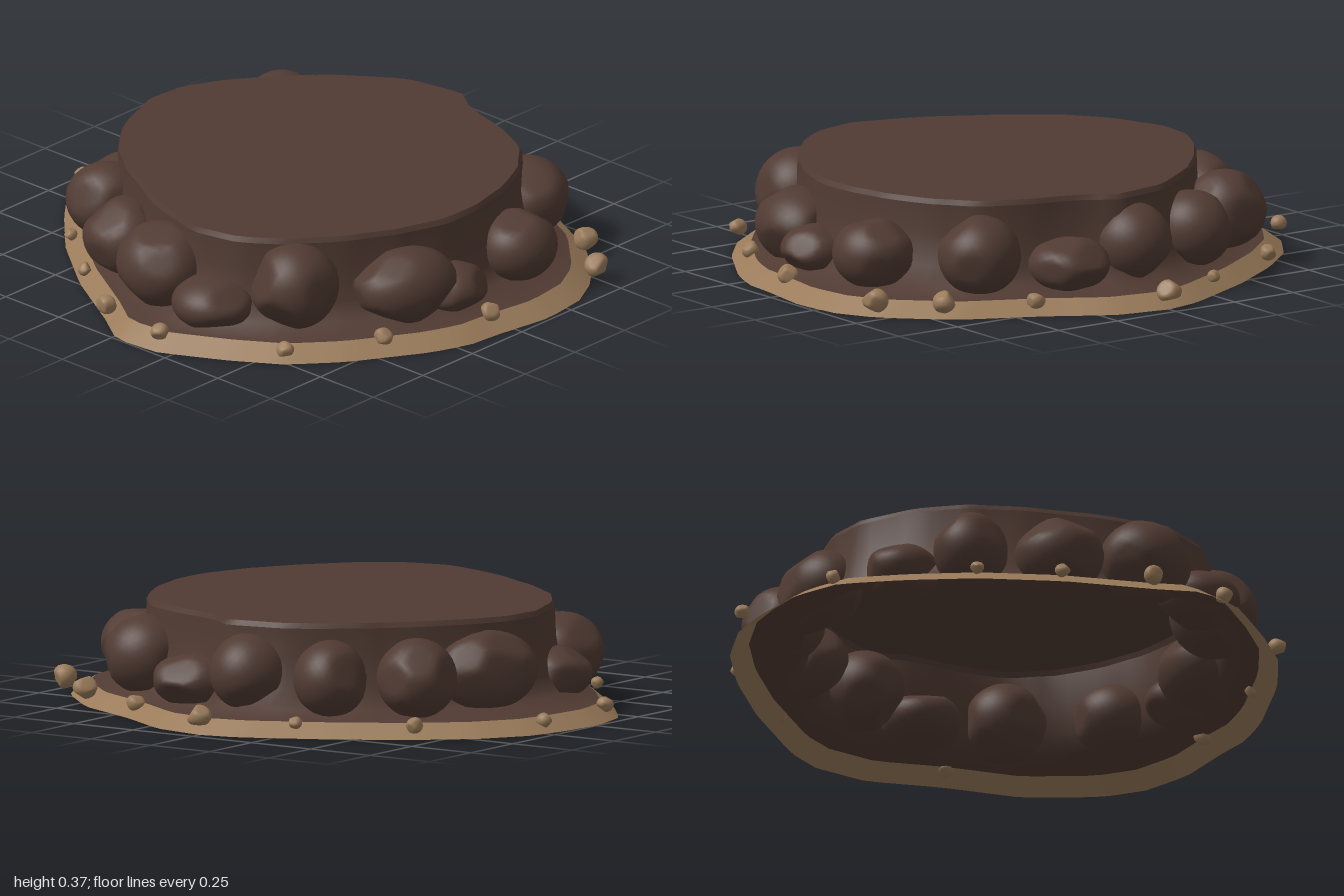
import * as THREE from 'three';
import { mergeVertices } from 'three/addons/utils/BufferGeometryUtils.js';

const SEGMENTS = 96;

// Ground plan outlines as [x, z] corners
const BASE = [[0, -0.96], [0.2, -0.925], [0.42, -0.79], [0.69, -0.66], [0.89, -0.47], [0.965, -0.33],
  [0.99, -0.15], [0.955, 0.08], [0.945, 0.2], [0.89, 0.34], [0.73, 0.6], [0.59, 0.76], [0.42, 0.87],
  [0.2, 0.985], [0.02, 1], [-0.12, 0.905], [-0.39, 0.745], [-0.63, 0.56], [-0.81, 0.375], [-0.955, 0.2],
  [-1, 0.02], [-0.98, -0.18], [-0.945, -0.32], [-0.84, -0.48], [-0.67, -0.63], [-0.44, -0.78], [-0.14, -0.93]];
const TOP = [[0.04, -0.72], [0.135, -0.66], [0.32, -0.61], [0.5, -0.52], [0.61, -0.4], [0.68, -0.24],
  [0.72, -0.08], [0.71, 0.08], [0.66, 0.27], [0.56, 0.43], [0.43, 0.59], [0.295, 0.68], [0.125, 0.73],
  [-0.025, 0.68], [-0.18, 0.615], [-0.37, 0.51], [-0.53, 0.4], [-0.635, 0.24], [-0.715, 0.055],
  [-0.7, -0.1], [-0.635, -0.24], [-0.53, -0.37], [-0.4, -0.53], [-0.16, -0.685]];

// Boulders: x, y, z, half radial, half height, half tangential
const BOULDERS = [
  [-0.03, 0.19, -0.69, 0.15, 0.135, 0.135], [0.22, 0.14, -0.67, 0.15, 0.095, 0.14],
  [0.51, 0.185, -0.55, 0.145, 0.135, 0.14], [0.745, 0.17, -0.25, 0.135, 0.12, 0.14],
  [0.75, 0.125, 0.08, 0.12, 0.085, 0.115], [0.69, 0.17, 0.26, 0.145, 0.13, 0.185],
  [0.46, 0.2, 0.57, 0.15, 0.15, 0.15], [0.235, 0.125, 0.74, 0.14, 0.09, 0.14],
  [-0.01, 0.19, 0.735, 0.15, 0.145, 0.16], [-0.3, 0.17, 0.615, 0.14, 0.13, 0.15],
  [-0.55, 0.17, 0.435, 0.14, 0.13, 0.125], [-0.67, 0.13, 0.215, 0.13, 0.09, 0.125],
  [-0.68, 0.19, -0.2, 0.135, 0.135, 0.19], [-0.585, 0.19, -0.485, 0.14, 0.135, 0.135],
  [-0.33, 0.185, -0.64, 0.14, 0.13, 0.125]];

// Pebbles: x, y, z, radius
const PEBBLES = [
  [0, 0.065, -0.96, 0.04], [0.715, 0.06, -0.625, 0.04], [0.905, 0.065, -0.48, 0.042], [0.415, 0.05, -0.75, 0.03],
  [-0.3, 0.05, -0.81, 0.022], [-0.67, 0.05, -0.62, 0.028], [-0.97, 0.05, -0.27, 0.026], [-0.93, 0.05, 0.15, 0.027],
  [-0.62, 0.05, 0.545, 0.022], [-0.385, 0.05, 0.725, 0.024], [-0.12, 0.055, 0.9, 0.033], [0.17, 0.055, 0.94, 0.03],
  [0.59, 0.055, 0.755, 0.03], [0.76, 0.055, 0.445, 0.031], [0.895, 0.06, 0.045, 0.035]];

function seeded(seed) {
  let s = seed * 7919 + 17;
  return () => (s = (s * 16807) % 2147483647) / 2147483647;
}

// Distance from the centre to an outline in direction a
function reach(outline, a) {
  const dx = Math.cos(a), dz = Math.sin(a);
  for (let i = 0; i < outline.length; i++) {
    const [px, pz] = outline[i], [qx, qz] = outline[(i + 1) % outline.length];
    const ex = qx - px, ez = qz - pz, det = dx * ez - dz * ex;
    const t = (px * ez - pz * ex) / det, u = (px * dz - pz * dx) / det;
    if (t > 0 && u >= -1e-6 && u <= 1 + 1e-6) return t;
  }
  return 0;
}

function ring(outline, scale, y, wobble = 0) {
  return Array.from({ length: SEGMENTS }, (_, i) => {
    const a = (i / SEGMENTS) * Math.PI * 2;
    const r = reach(outline, a) * scale + wobble * (Math.sin(a * 7 + 1) + Math.sin(a * 12));
    return [r * Math.cos(a), y, r * Math.sin(a)];
  });
}

// Surface through a stack of rings, from outside or below to inside or above
function loft(rings) {
  const index = [];
  for (let k = 0; k < rings.length - 1; k++) {
    for (let i = 0; i < SEGMENTS; i++) {
      const j = (i + 1) % SEGMENTS;
      const p = k * SEGMENTS, q = p + SEGMENTS;
      index.push(p + i, q + i, p + j, p + j, q + i, q + j);
    }
  }
  const g = new THREE.BufferGeometry();
  g.setAttribute('position', new THREE.Float32BufferAttribute(rings.flat(2), 3));
  g.setIndex(index);
  g.computeVertexNormals();
  return g;
}

// Ball worn down by a few random planes
function stoneGeometry(seed, detail, cuts, depth) {
  const rnd = seeded(seed);
  let g = new THREE.IcosahedronGeometry(1, detail);
  g.deleteAttribute('uv');
  g.deleteAttribute('normal');
  g = mergeVertices(g, 1e-4);
  const planes = Array.from({ length: cuts }, () => ({
    n: new THREE.Vector3(rnd() - 0.5, rnd() - 0.5, rnd() - 0.5).normalize(), d: 1 - depth * (0.4 + 0.6 * rnd()),
  }));
  const pos = g.attributes.position, v = new THREE.Vector3();
  for (let i = 0; i < pos.count; i++) {
    v.fromBufferAttribute(pos, i);
    for (const { n, d } of planes) {
      const over = v.dot(n) - d;
      if (over > 0) v.addScaledVector(n, -over * 0.85);
    }
    pos.setXYZ(i, v.x * 1.03, v.y * 1.03, v.z * 1.03);
  }
  g.computeVertexNormals();
  return g;
}

export function createModel() {
  const group = new THREE.Group();
  const earth = new THREE.MeshStandardMaterial({ color: 0x513b33, side: THREE.DoubleSide });
  earth.name = 'dark earth';
  const sand = new THREE.MeshStandardMaterial({ color: 0x9a7b5a, side: THREE.DoubleSide });
  sand.name = 'sand';
  const add = (name, geometry, material, parent = group) => {
    const mesh = new THREE.Mesh(geometry, material);
    mesh.name = name;
    parent.add(mesh);
    return mesh;
  };

  // Hollow mound: sandy skirt, wall flowing out into a ledge, worn bevel and flat top
  const rim = ring(BASE, 0.93, 0.05);
  const brow = ring(TOP, 1.012, 0.352, 0.004);
  const edge = ring(TOP, 1, 0.37, 0.003);
  add('sandSkirt', loft([ring(BASE, 1, 0), rim]), sand);
  add('wallAndLedge', loft([rim, ring(TOP, 1.09, 0.075), ring(TOP, 1.045, 0.14, 0.003),
    ring(TOP, 1.015, 0.25, 0.005), brow]), earth);
  add('wallBevel', loft([brow, edge]), earth);
  add('flatTop', loft([edge, ring(TOP, 0.001, 0.37)]), earth);

  // Boulders around the wall, each turned to face outward
  const boulders = new THREE.Group();
  boulders.name = 'boulders';
  group.add(boulders);
  BOULDERS.forEach(([x, y, z, radial, height, along], i) => {
    const stone = add('boulder', stoneGeometry(i + 3, 6, 7, 0.17), earth, boulders);
    stone.position.set(x, y, z);
    stone.scale.set(radial, height, along);
    stone.rotation.y = -Math.atan2(z, x);
  });

  // Pebbles scattered on the skirt
  const pebbles = new THREE.Group();
  pebbles.name = 'pebbles';
  group.add(pebbles);
  PEBBLES.forEach(([x, y, z, r], i) => {
    const stone = add('pebble', stoneGeometry(i + 40, 3, 7, 0.35), sand, pebbles);
    stone.position.set(x, y, z);
    stone.scale.set(r * 1.1, r, r);
    stone.rotation.y = i;
  });
  return group;
}
